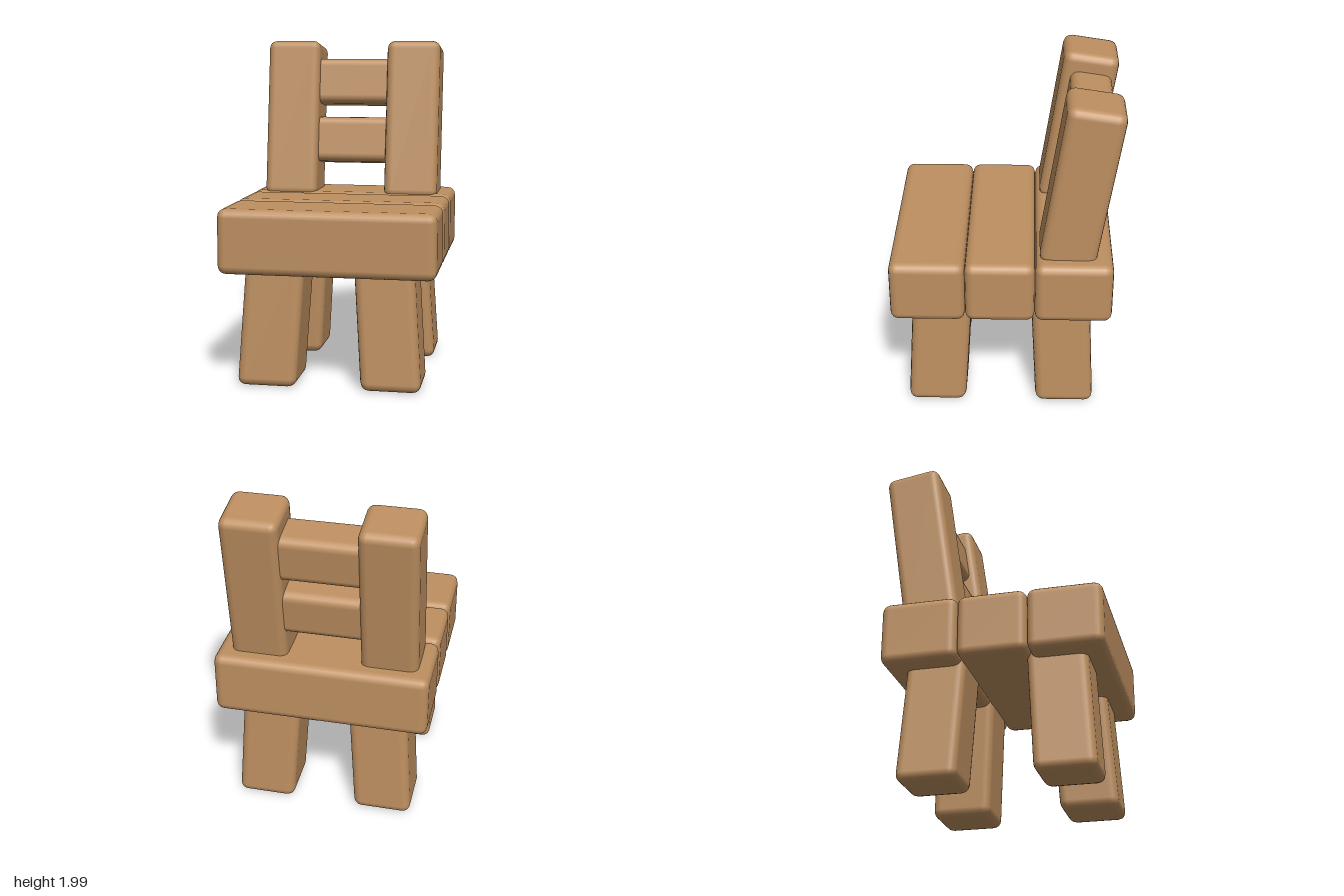
import * as THREE from 'three';
import { RoundedBoxGeometry } from 'three/addons/geometries/RoundedBoxGeometry.js';

const BEVEL = 0.05;
const RECLINE = -0.149; // backrest tilt in radians

export function createModel() {
  const chair = new THREE.Group();
  chair.name = 'chair';

  const wood = new THREE.MeshStandardMaterial({ color: 0xbd8f60 });
  wood.name = 'wood';

  // Chunky beam with softened edges
  function beam(name, size, position, bevel = BEVEL) {
    const mesh = new THREE.Mesh(new RoundedBoxGeometry(...size, 2, bevel), wood);
    mesh.name = name;
    mesh.position.set(...position);
    chair.add(mesh);
    return mesh;
  }

  // Seat: three planks side by side, as [name, front z, back z]
  const planks = [
    ['frontSeatPlank', 0.665, 0.23],
    ['middleSeatPlank', 0.23, -0.175],
    ['backSeatPlank', -0.175, -0.625],
  ];
  for (const [name, front, back] of planks) {
    beam(name, [1.26, 0.38, front - back], [0, 0.86, (front + back) / 2]);
  }

  // Legs: splayed outwards by a shear, so the feet stay flat on the floor
  const legHeight = 0.8;
  for (const [end, z, splayZ] of [['front', 0.415, -0.06], ['back', -0.365, 0.05]]) {
    for (const [side, s] of [['Left', 1], ['Right', -1]]) {
      const leg = beam(`${end}${side}Leg`, [0.35, legHeight, 0.35], [s * 0.365, 0, z]);
      const shear = new THREE.Matrix4().set(
        1, -0.065 * s, 0, 0,
        0, 1, 0, 0,
        0, splayZ, 1, 0,
        0, 0, 0, 1,
      );
      leg.geometry.translate(0, legHeight / 2, 0).applyMatrix4(shear);
    }
  }

  // Backrest: two reclined posts
  for (const [name, x] of [['leftBackPost', 0.375], ['rightBackPost', -0.388]]) {
    beam(name, [0.333, 0.99, 0.33], [x, 1.487, -0.43]).rotation.x = RECLINE;
  }

  // Backrest: two slats between the posts
  for (const [name, y, z] of [['upperSlat', 1.728, -0.48], ['lowerSlat', 1.36, -0.425]]) {
    beam(name, [0.6, 0.285, 0.25], [0, y, z]).rotation.x = RECLINE;
  }

  return chair;
}
